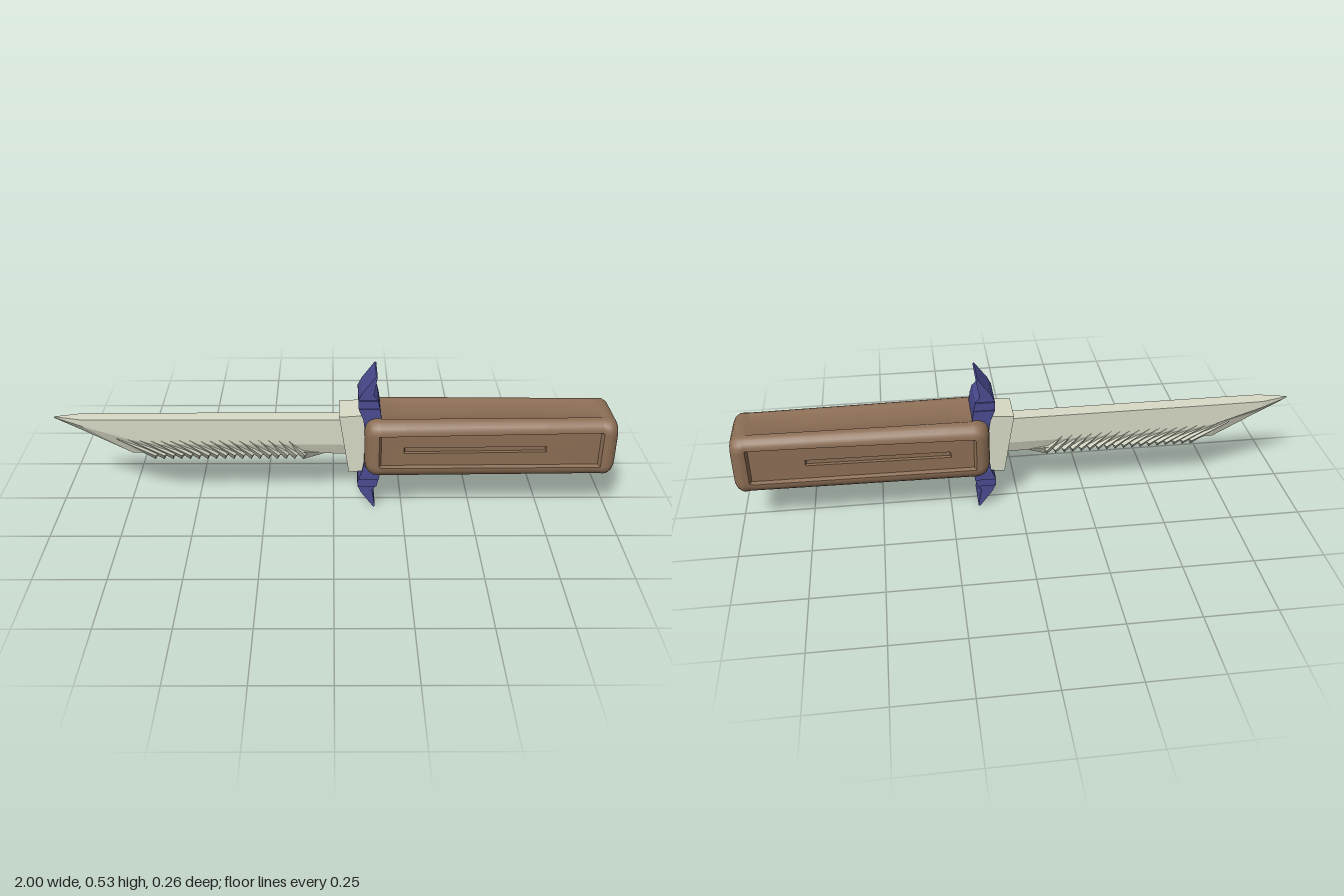
import * as THREE from 'three';
import { toCreasedNormals } from 'three/addons/utils/BufferGeometryUtils.js';
import { ConvexGeometry } from 'three/addons/geometries/ConvexGeometry.js';

const MID = 0.266; // height of the long axis

// Skin equal-length rings of [x, y, z] points, ordered along +x, and cap both ends
function loft(rings, crease) {
  const n = rings[0].length, pos = rings.flat(2), idx = [];
  for (let i = 0; i < rings.length - 1; i++) {
    for (let j = 0; j < n; j++) {
      const a = i * n + j, b = i * n + (j + 1) % n;
      idx.push(a, a + n, b, b, a + n, b + n);
    }
  }
  [rings[0], rings[rings.length - 1]].forEach((ring, end) => {
    const c = pos.length / 3, base = end ? (rings.length - 1) * n : 0;
    for (let k = 0; k < 3; k++) pos.push(ring.reduce((s, p) => s + p[k], 0) / n);
    for (let j = 0; j < n; j++) {
      const a = base + j, b = base + (j + 1) % n;
      idx.push(c, end ? b : a, end ? a : b);
    }
  });
  const g = new THREE.BufferGeometry();
  g.setAttribute('position', new THREE.Float32BufferAttribute(pos, 3));
  g.setIndex(idx);
  return toCreasedNormals(g, crease);
}

// Rounded-rectangle handle section whose sides can sink into a panel and a slot
function handleRing(x, hz, hy, r, panel = 0, slot = 0) {
  const pts = [];
  for (let k = 0; k < 4; k++) {
    const c = Math.round(Math.cos(k * Math.PI / 2)), s = Math.round(Math.sin(k * Math.PI / 2));
    const side = k % 2 === 0;
    const out = side ? hz : hy, half = side ? hy : hz;
    const p = (half - r) * 0.98, w = Math.min(0.011, p * 0.4);
    const d = side ? panel : panel * 0.25, e = side ? d + slot : d;
    const put = (n, t) => pts.push([x, MID + n * s + t * c, n * c - t * s]);
    [[-p, 0], [-p * 0.92, d], [-w, d], [-w * 0.8, e], [w * 0.8, e], [w, d], [p * 0.92, d], [p, 0]]
      .forEach(([t, depth]) => put(out - depth, t));
    for (let i = 0; i <= 5; i++) {
      const a = i * Math.PI / 10;
      put(out - r + r * Math.cos(a), half - r + r * Math.sin(a));
    }
  }
  return pts;
}

export function createModel() {
  const model = new THREE.Group();
  const mat = (color) => new THREE.MeshStandardMaterial({ color });
  const brown = mat(0x8c6e55), bone = mat(0xd9dbc7), navy = mat(0x4b4b91);
  const add = (name, geometry, material, parent = model) => {
    const m = new THREE.Mesh(geometry, material);
    m.name = name;
    parent.add(m);
    return m;
  };

  // Handle with sunken panels, side slots and a hollow butt
  add('handle', loft([
    handleRing(0.11, 0.085, 0.07, 0.03),
    handleRing(0.114, 0.103, 0.087, 0.04),
    handleRing(0.125, 0.118, 0.1, 0.045),
    handleRing(0.142, 0.126, 0.108, 0.046),
    handleRing(0.16, 0.128, 0.11, 0.046),
    handleRing(0.168, 0.128, 0.11, 0.046, 0.014),
    handleRing(0.248, 0.126, 0.11, 0.045, 0.014),
    handleRing(0.252, 0.126, 0.11, 0.045, 0.014, 0.01),
    handleRing(0.748, 0.115, 0.11, 0.041, 0.014, 0.01),
    handleRing(0.752, 0.115, 0.11, 0.041, 0.014),
    handleRing(0.94, 0.111, 0.11, 0.04, 0.014),
    handleRing(0.948, 0.111, 0.11, 0.04),
    handleRing(0.962, 0.117, 0.11, 0.045),
    handleRing(0.975, 0.116, 0.109, 0.045),
    handleRing(0.99, 0.108, 0.1, 0.042),
    handleRing(0.998, 0.096, 0.086, 0.034),
    handleRing(1.0, 0.078, 0.06, 0.003),
    handleRing(0.985, 0.064, 0.046, 0.003),
    handleRing(0.94, 0.062, 0.045, 0.003),
  ], 0.6), brown);

  // Blade sections: x, spine height, bevel height, edge height, thickness, edge thickness
  const blade = [
    [-1, 0.345, 0.343, 0.341, 0.001, 0.001],
    [-0.9, 0.345, 0.32, 0.29, 0.026, 0.003],
    [-0.73, 0.345, 0.265, 0.2, 0.028, 0.006],
    [-0.62, 0.345, 0.245, 0.2, 0.028, 0.012],
    [0.05, 0.345, 0.245, 0.2, 0.028, 0.014],
  ].map(([x, top, bevel, edge, t, e]) => [
    [x, edge, e], [x, bevel, t], [x, top, t], [x, top, -t], [x, bevel, -t], [x, edge, -e]]);
  add('blade', loft(blade, 0.1), bone);

  // Raking teeth, leaning less towards the handle
  const teeth = new THREE.Group();
  teeth.name = 'serrations';
  model.add(teeth);
  const count = 18;
  for (let i = 0; i < count; i++) {
    const f = i / (count - 1), x = -0.65 + 0.54 * f, lean = 0.13 - 0.07 * f;
    const pts = [new THREE.Vector3(x, 0.168, 0)];
    for (const s of [-1, 1]) {
      pts.push(new THREE.Vector3(x - lean, 0.268, s * 0.027),
        new THREE.Vector3(x + 0.008, 0.205, s * 0.04),
        new THREE.Vector3(x - 0.024, 0.2, s * 0.012),
        new THREE.Vector3(x + 0.016, 0.2, s * 0.012));
    }
    add('tooth', new ConvexGeometry(pts), bone, teeth);
  }
  const heel = [[-0.11, 0.168, 0]];
  for (const s of [-1, 1]) heel.push([-0.12, 0.215, s * 0.03], [-0.03, 0.202, s * 0.014]);
  add('heelTooth', new ConvexGeometry(heel.map((p) => new THREE.Vector3(...p))), bone, teeth);

  // Extruded side profile centred on z = 0
  const plate = (pts, halfWidth) => new THREE.ExtrudeGeometry(
    new THREE.Shape(pts.map((p) => new THREE.Vector2(...p))),
    { depth: halfWidth * 2, bevelEnabled: false }).translate(0, 0, -halfWidth);

  add('bolster', plate([[0.055, 0.15], [0.125, 0.158], [0.125, 0.382], [0.02, 0.375]], 0.064), bone);

  // Guard wings, stepped in width, mirrored above and below
  for (const s of [1, -1]) {
    const wing = new THREE.Group();
    wing.name = s > 0 ? 'upperGuard' : 'lowerGuard';
    model.add(wing);
    const steps = [
      ['guardRoot', [[0.11, 0.33], [0.165, 0.33], [0.168, 0.375], [0.163, 0.41], [0.088, 0.41], [0.104, 0.37]], 0.074],
      ['guardStep', [[0.088, 0.41], [0.163, 0.41], [0.156, 0.44], [0.087, 0.44]], 0.069],
      ['guardTip', [[0.087, 0.44], [0.156, 0.44], [0.14, 0.458], [0.152, 0.528], [0.147, 0.532], [0.1, 0.468]], 0.063],
    ];
    for (const [name, pts, w] of steps) {
      add(name, plate(pts.map(([x, y]) => [x, MID + s * (y - MID)]), w), navy, wing);
    }
  }
  return model;
}
